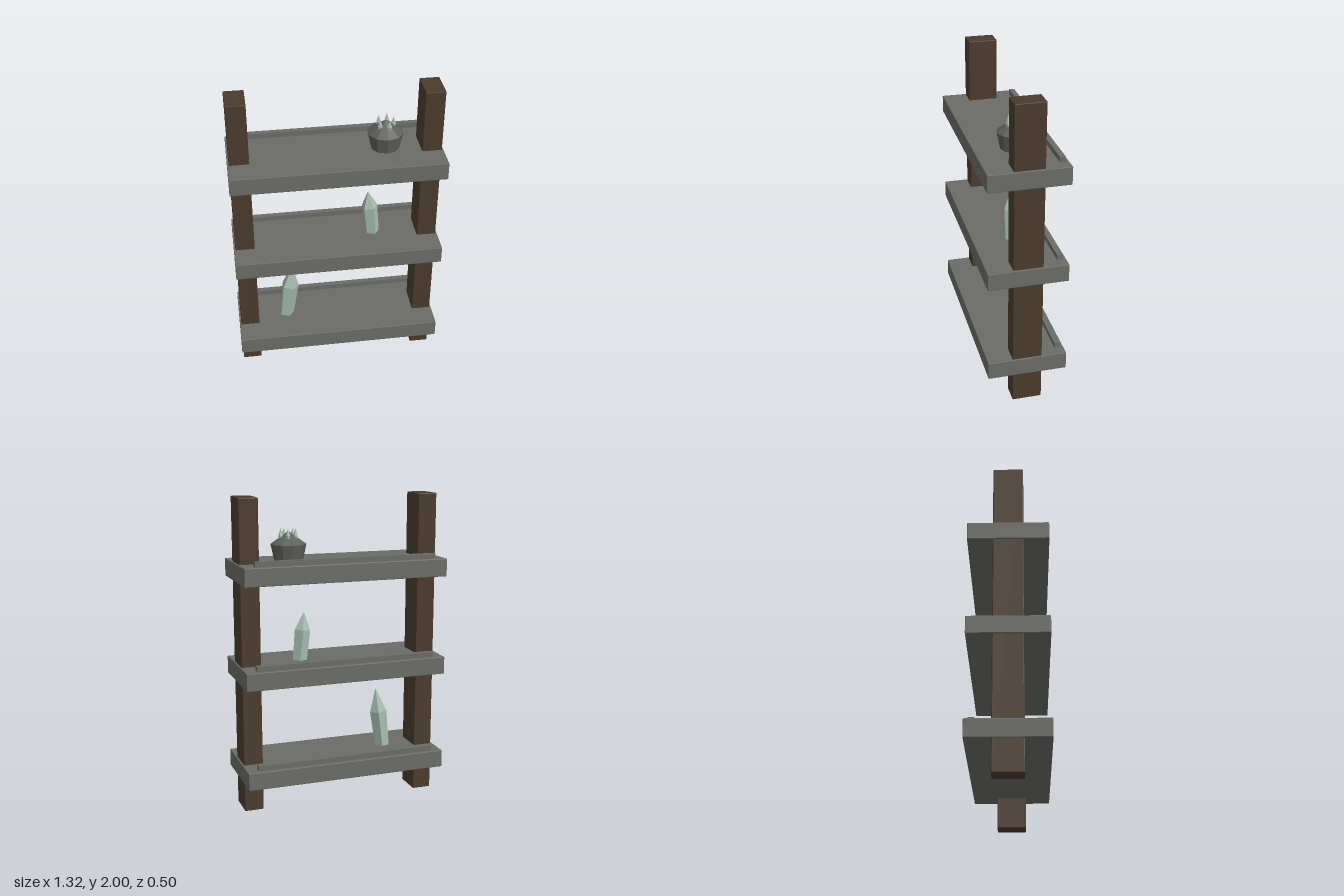
import * as THREE from 'three';
import { RoundedBoxGeometry } from 'three/addons/geometries/RoundedBoxGeometry.js';

const material = (name, color) => {
  const m = new THREE.MeshStandardMaterial({ color, flatShading: true });
  m.name = name;
  return m;
};

export function createModel() {
  const wood = material('darkWood', 0x4a3b2c);
  const stone = material('greyStone', 0x6b6c66);
  const clay = material('potGrey', 0x5f5f5d);
  const crystal = material('paleGreenCrystal', 0xa6bdb0);
  const model = new THREE.Group();
  model.name = 'shelfUnit';

  const add = (parent, name, geometry, mat, x, y, z) => {
    const mesh = new THREE.Mesh(geometry, mat);
    mesh.name = name;
    mesh.position.set(x, y, z);
    parent.add(mesh);
    return mesh;
  };

  // Five-sided crystal standing at y = 0: flaring shaft, pointed tip
  const crystalGeometry = (base, shoulder, shaft, height) =>
    new THREE.LatheGeometry([
      new THREE.Vector2(0, 0),
      new THREE.Vector2(base, 0),
      new THREE.Vector2(shoulder, shaft),
      new THREE.Vector2(0, height),
    ], 5);

  // Two upright posts
  for (const side of [1, -1]) {
    add(model, side > 0 ? 'leftPost' : 'rightPost',
      new RoundedBoxGeometry(0.124, 2, 0.188, 1, 0.005), wood, side * 0.59, 1, 0);
  }

  // Three shelves, each with a low rail near the back
  ['lower', 'middle', 'upper'].forEach((level, i) => {
    const top = 0.313 + i * 0.642;
    add(model, level + 'Shelf',
      new RoundedBoxGeometry(1.324, 0.114, 0.504, 1, 0.004), stone, 0, top - 0.057, 0);
    add(model, level + 'BackRail',
      new THREE.BoxGeometry(1.18, 0.04, 0.035), stone, 0, top + 0.013, -0.212);
  });

  // Large leaning crystals
  const tall = add(model, 'tallCrystal', crystalGeometry(0.048, 0.058, 0.26, 0.42), crystal, -0.336, 0.295, 0.005);
  tall.rotation.set(0, 0.32, -0.125, 'ZYX');
  const short = add(model, 'shortCrystal', crystalGeometry(0.047, 0.052, 0.21, 0.325), crystal, 0.248, 0.942, 0);
  short.rotation.set(0, 0.4, 0.1, 'ZYX');

  // Ten-sided pot with a shallow conical mound
  const pot = new THREE.Group();
  pot.name = 'crystalPot';
  pot.position.set(0.313, 1.597, 0);
  model.add(pot);
  add(pot, 'potBody', new THREE.CylinderGeometry(0.112, 0.09, 0.105, 10), clay, 0, 0.0525, 0);
  add(pot, 'potMound', new THREE.ConeGeometry(0.112, 0.08, 10), clay, 0, 0.145, 0);

  // Ring of little crystals growing from the mound
  for (let i = 0; i < 5; i++) {
    const a = i * Math.PI * 2 / 5;
    const spike = add(pot, 'smallCrystal' + (i + 1), crystalGeometry(0.01, 0.015, 0.04, 0.085),
      crystal, Math.cos(a) * 0.048, 0.12, Math.sin(a) * 0.048);
    spike.rotation.y = a;
  }
  return model;
}
